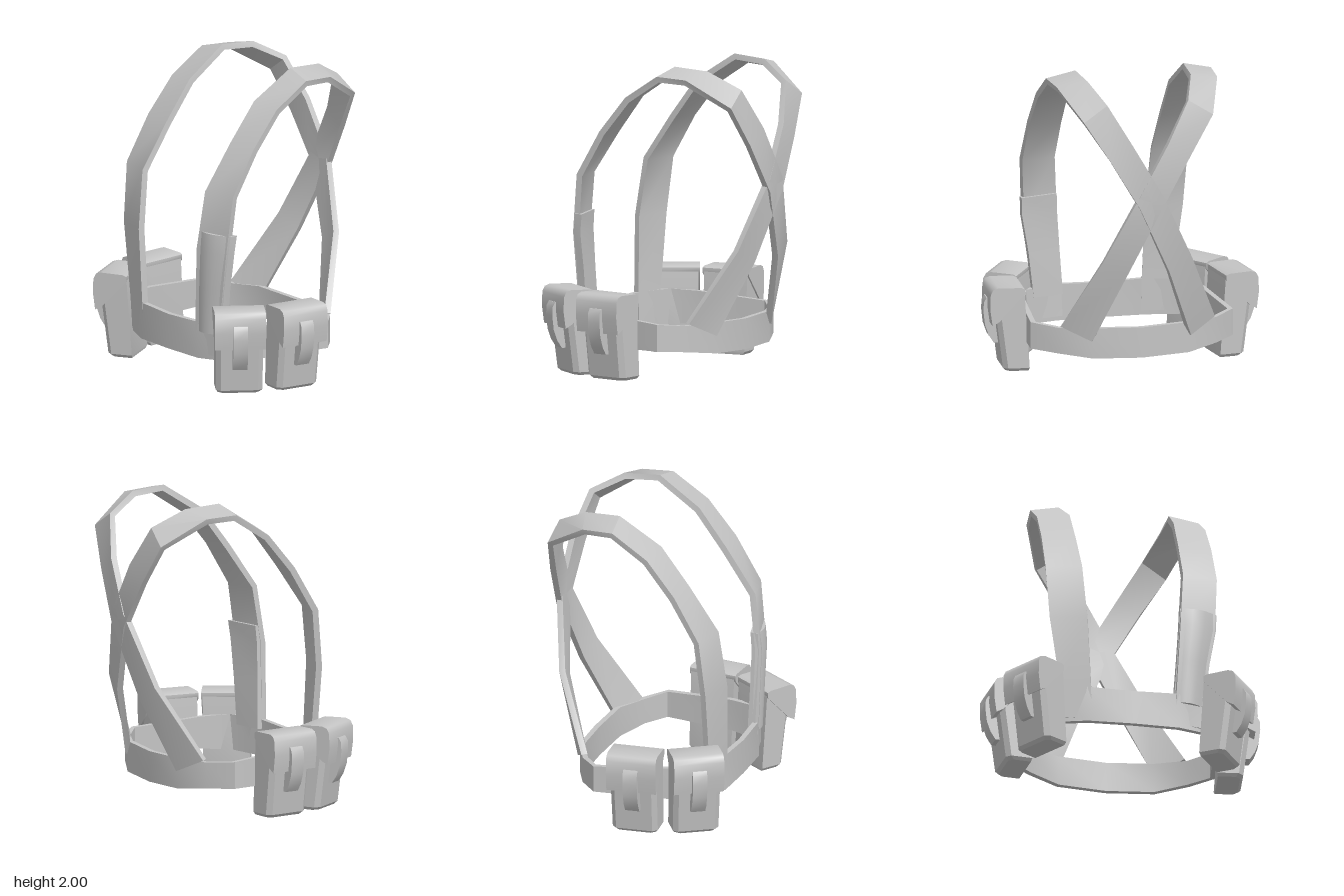
import * as THREE from 'three';
import { toCreasedNormals } from 'three/addons/utils/BufferGeometryUtils.js';

const V = (x, y, z) => new THREE.Vector3(x, y, z);

// Skin a series of equal-sized rings; closed joins the last ring to the first
function loft(rings, closed = false, crease = 0.6) {
  const n = rings[0].length, tris = [];
  const count = closed ? rings.length : rings.length - 1;
  for (let i = 0; i < count; i++) {
    const r = rings[i], s = rings[(i + 1) % rings.length];
    for (let j = 0; j < n; j++) {
      const k = (j + 1) % n;
      tris.push([r[j], r[k], s[k]], [r[j], s[k], s[j]]);
    }
  }
  if (!closed) {
    const a = rings[0], b = rings[rings.length - 1];
    for (let j = 1; j < n - 1; j++) tris.push([a[0], a[j + 1], a[j]], [b[0], b[j], b[j + 1]]);
  }
  // turn the whole skin outward if its enclosed volume is negative
  let volume = 0;
  for (const [a, b, c] of tris) volume += a.dot(b.clone().cross(c));
  if (volume < 0) tris.forEach((t) => t.reverse());
  const g = new THREE.BufferGeometry().setFromPoints(tris.flat());
  return toCreasedNormals(g, crease);
}

// Flat band given as pairs of edge points on its outer face
function band(pairs, thickness, closed = false) {
  const n = pairs.length;
  const mid = pairs.map(([a, b]) => a.clone().add(b).multiplyScalar(0.5));
  const rings = pairs.map(([a, b], i) => {
    const next = closed ? (i + 1) % n : Math.min(i + 1, n - 1);
    const prev = closed ? (i + n - 1) % n : Math.max(i - 1, 0);
    const tangent = mid[next].clone().sub(mid[prev]);
    const inward = b.clone().sub(a).cross(tangent).normalize().multiplyScalar(-thickness);
    return [a, b, b.clone().add(inward), a.clone().add(inward)];
  });
  return loft(rings, closed);
}

// Side profile of [depth, height] points extruded across a width
function slab(profile, width) {
  const shape = new THREE.Shape(profile.map(([d, y]) => new THREE.Vector2(d, y)));
  const g = new THREE.ExtrudeGeometry(shape, { depth: width, bevelEnabled: false });
  g.rotateY(-Math.PI / 2).translate(width / 2, 0, 0);
  return toCreasedNormals(g, 0.9);
}

export function createModel() {
  const model = new THREE.Group();
  model.name = 'harness';
  const webbing = new THREE.MeshStandardMaterial({ color: 0xc4c4c4 });
  webbing.name = 'grey webbing';
  const add = (parent, name, geometry) => {
    const m = new THREE.Mesh(geometry, webbing);
    m.name = name;
    parent.add(m);
    return m;
  };

  // Waist belt: x, z, bottom, top from front centre round to back centre
  const half = [
    [0, 0.575, 0.17, 0.4], [0.3, 0.565, 0.17, 0.41], [0.55, 0.47, 0.18, 0.41],
    [0.62, 0.27, 0.19, 0.4], [0.675, -0.2, 0.19, 0.365], [0.53, -0.33, 0.18, 0.35],
    [0.32, -0.43, 0.155, 0.355], [0, -0.45, 0.145, 0.345],
  ];
  const loop = [...half, ...half.slice(1, -1).reverse().map(([x, ...r]) => [-x, ...r])];
  add(model, 'waistBelt', band(loop.map(([x, z, b, t]) => [V(x, t, z), V(x, b, z)]), 0.035, true));

  // Shoulder strap: inner and outer edges, from the belt front over to the opposite back
  const strap = [
    [0.27, 0.2, 0.56, 0.45, 0.2, 0.52], [0.28, 0.41, 0.57, 0.47, 0.41, 0.52],
    [0.305, 0.9, 0.58, 0.54, 0.9, 0.52], [0.33, 1.28, 0.53, 0.56, 1.28, 0.48],
    [0.335, 1.57, 0.33, 0.555, 1.57, 0.31], [0.34, 1.82, 0.14, 0.55, 1.8, 0.12],
    [0.36, 2, -0.14, 0.55, 1.955, -0.12], [0.345, 1.985, -0.38, 0.535, 1.945, -0.33],
    [0.27, 1.87, -0.59, 0.43, 1.77, -0.61], [0.12, 1.61, -0.665, 0.265, 1.51, -0.655],
    [-0.075, 1.275, -0.685, 0.075, 1.19, -0.685], [-0.3, 0.82, -0.58, -0.14, 0.74, -0.61],
    [-0.515, 0.36, -0.345, -0.33, 0.27, -0.44],
  ];
  for (const [name, s] of [['leftStrap', 1], ['rightStrap', -1]]) {
    const pairs = strap.map(([ax, ay, az, bx, by, bz]) => {
      const e = [V(s * ax, ay, az), V(s * bx, by, bz)];
      return s > 0 ? e : e.reverse();
    });
    add(model, name, band(pairs, 0.04));
  }

  // Curved pad wrapped round the front of the left strap
  const pad = [
    [1.02, 0.305, 0.565, 0.555, 0.505], [0.9, 0.3, 0.575, 0.548, 0.52],
    [0.65, 0.285, 0.57, 0.505, 0.52], [0.35, 0.265, 0.56, 0.47, 0.52],
  ].map(([y, ax, az, bx, bz]) => {
    const front = [];
    for (let i = 0; i <= 6; i++) {
      const t = i / 6;
      front.push(V(ax + (bx - ax) * t, y, az + (bz - az) * t - 0.01 + 0.035 * Math.sin(Math.PI * t)));
    }
    return [...front, V(bx, y, bz - 0.06), V(ax, y, az - 0.06)];
  });
  add(model, 'chestPad', loft(pad, false, 0.8));

  // Pouch parts: tapered body with chamfered corners, wrap-over lid, closing tab
  const body = loft([
    [0, 0.135, -0.03, 0.115], [0.02, 0.15, -0.035, 0.135], [0.52, 0.155, 0, 0.2],
  ].map(([y, w, back, front]) => [
    V(-w, y, back), V(w, y, back), V(w, y, front - 0.03),
    V(w - 0.03, y, front), V(-w + 0.03, y, front), V(-w, y, front - 0.03),
  ]), false, 0.5);
  const lid = slab([
    [0, 0.51], [0, 0.545], [0.02, 0.555], [0.17, 0.56], [0.205, 0.548],
    [0.222, 0.515], [0.225, 0.42], [0.21, 0.31], [0.165, 0.335],
  ], 0.33);
  const tab = slab([
    [0.2, 0.47], [0.23, 0.47], [0.247, 0.44], [0.25, 0.38], [0.24, 0.29],
    [0.215, 0.22], [0.182, 0.17], [0.14, 0.17],
  ], 0.095);

  // Two pouches on each hip
  const places = [['FrontPouch', 0.545, 0.43, 57], ['SidePouch', 0.655, 0.11, 84]];
  for (const [side, s] of [['left', 1], ['right', -1]]) {
    for (const [name, x, z, angle] of places) {
      const pouch = new THREE.Group();
      pouch.name = side + name;
      add(pouch, 'pouchBody', body);
      add(pouch, 'pouchLid', lid);
      add(pouch, 'pouchTab', tab);
      pouch.position.set(s * x, 0, z);
      pouch.rotation.y = s * THREE.MathUtils.degToRad(angle);
      model.add(pouch);
    }
  }
  return model;
}
